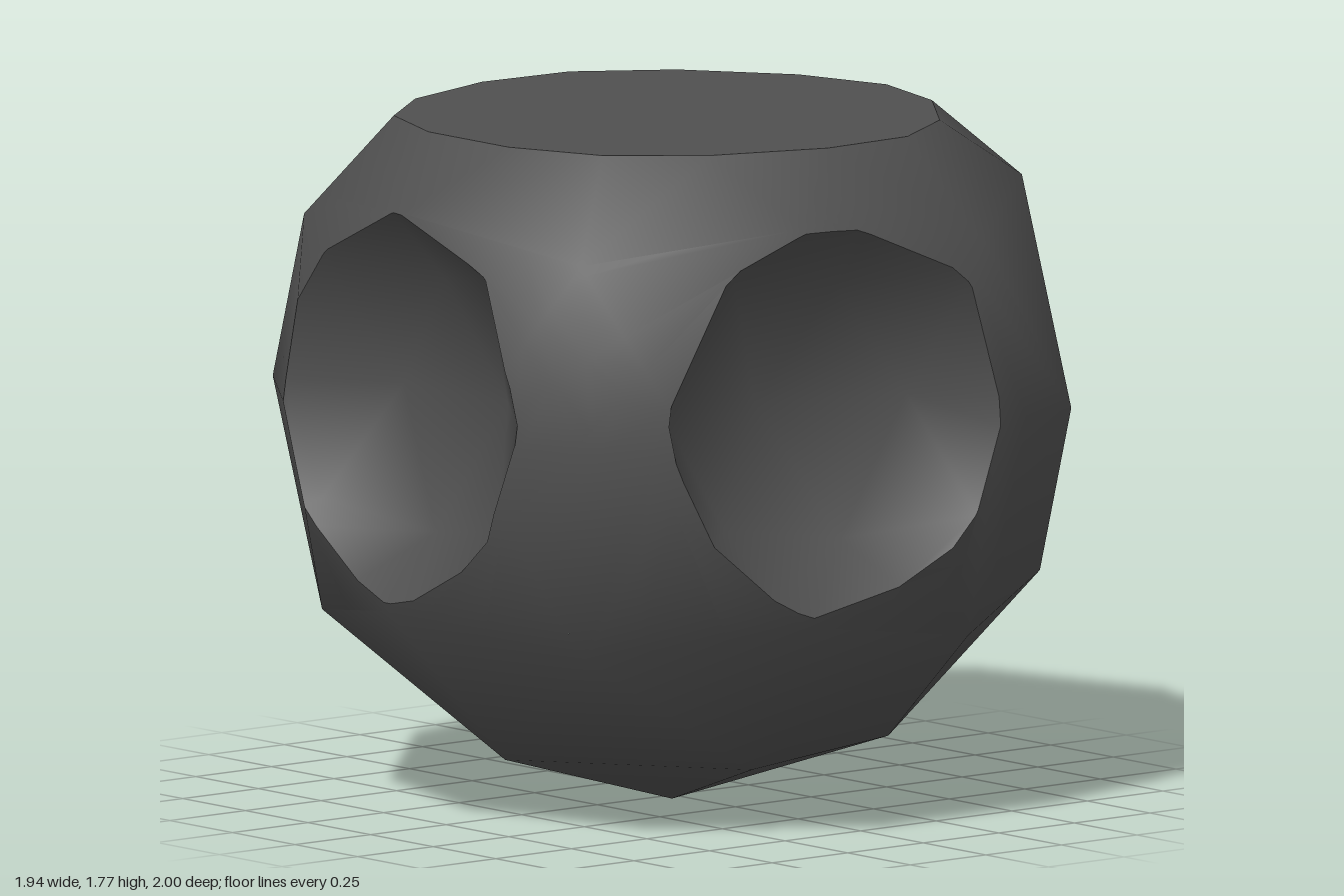
import * as THREE from 'three';

const CENTRE = new THREE.Vector3(-0.04, 1.05, 0.045);
const RADIUS = 1.05;
const TOP = 1.77;

// Each crater: axis from the ball centre, distance of its cutter along it, cutter radius
const CRATERS = [
  { name: 'frontCrater', axis: [-0.18, 0.055, 0.98], dist: 1.31, radius: 0.67 },
  { name: 'rightCrater', axis: [-0.99, 0.045, -0.04], dist: 1.31, radius: 0.67 },
  { name: 'leftCrater', axis: [0.892, -0.42, -0.163], dist: 1.24, radius: 0.47 },
];

// Eighty-sided ball with a corner pointing up, as triangles and their planes
function makeBall(centre, radius) {
  const geo = new THREE.IcosahedronGeometry(radius, 1);
  geo.rotateZ(-Math.atan(2 / (1 + Math.sqrt(5))));
  geo.translate(centre.x, centre.y, centre.z);
  const pos = geo.attributes.position;
  const faces = [], planes = [];
  for (let i = 0; i < pos.count; i += 3) {
    const tri = [0, 1, 2].map((k) => new THREE.Vector3().fromBufferAttribute(pos, i + k));
    faces.push(tri);
    planes.push(new THREE.Plane().setFromCoplanarPoints(...tri));
  }
  return { centre, faces, planes };
}

// Keep the side of a polygon where sign * distance <= 0
function clip(poly, plane, sign) {
  const out = [];
  poly.forEach((a, i) => {
    const b = poly[(i + 1) % poly.length];
    const da = sign * plane.distanceToPoint(a);
    const db = sign * plane.distanceToPoint(b);
    if (da <= 0) out.push(a);
    if ((da < 0 && db > 0) || (da > 0 && db < 0)) out.push(a.clone().lerp(b, da / (da - db)));
  });
  return out.length > 2 ? out : [];
}

// Part of a polygon inside a convex solid
function inside(poly, planes) {
  return planes.reduce((p, plane) => (p.length ? clip(p, plane, 1) : p), poly);
}

// Pieces of a polygon outside a convex solid
function outside(poly, planes) {
  if (!inside(poly, planes).length) return [poly];
  const pieces = [];
  let rest = poly;
  for (const plane of planes) {
    const piece = clip(rest, plane, -1);
    if (piece.length) pieces.push(piece);
    rest = clip(rest, plane, 1);
    if (!rest.length) break;
  }
  return pieces;
}

// Fan the polygons into a mesh, taking a normal for every point
function makeMesh(name, polys, normalAt, material) {
  const position = [], normal = [];
  for (const p of polys) {
    for (let i = 1; i < p.length - 1; i++) {
      for (const v of [p[0], p[i], p[i + 1]]) {
        position.push(v.x, v.y, v.z);
        normal.push(...normalAt(v).toArray());
      }
    }
  }
  const geo = new THREE.BufferGeometry();
  geo.setAttribute('position', new THREE.Float32BufferAttribute(position, 3));
  geo.setAttribute('normal', new THREE.Float32BufferAttribute(normal, 3));
  const mesh = new THREE.Mesh(geo, material);
  mesh.name = name;
  return mesh;
}

export function createModel() {
  const group = new THREE.Group();
  group.name = 'crateredBall';
  const grey = new THREE.MeshStandardMaterial({ color: 0x505050 });
  grey.name = 'darkGrey';

  const ball = makeBall(CENTRE, RADIUS);
  const topPlane = new THREE.Plane(new THREE.Vector3(0, 1, 0), -TOP);
  const solid = [...ball.planes, topPlane];
  const cutters = CRATERS.map((c) => {
    const centre = new THREE.Vector3(...c.axis).setLength(c.dist).add(CENTRE);
    return { name: c.name, ...makeBall(centre, c.radius) };
  });

  // Outer shell, cut by the top plane and the craters
  let shell = ball.faces.map((f) => clip(f, topPlane, 1)).filter((f) => f.length);
  for (const c of cutters) shell = shell.flatMap((f) => outside(f, c.planes));
  group.add(makeMesh('shell', shell, (v) => v.clone().sub(CENTRE).normalize(), grey));

  // Bowls: the part of each cutter within the ball, turned inside out
  for (const c of cutters) {
    let bowl = c.faces.map((f) => inside(f, solid)).filter((f) => f.length);
    for (const other of cutters) {
      if (other !== c) bowl = bowl.flatMap((f) => outside(f, other.planes));
    }
    bowl = bowl.map((f) => [...f].reverse());
    group.add(makeMesh(c.name, bowl, (v) => c.centre.clone().sub(v).normalize(), grey));
  }

  // Flat top
  const square = [[-2, -2], [-2, 2], [2, 2], [2, -2]].map(([x, z]) => new THREE.Vector3(x, TOP, z));
  const up = new THREE.Vector3(0, 1, 0);
  group.add(makeMesh('flatTop', [inside(square, ball.planes)], () => up, grey));
  return group;
}
